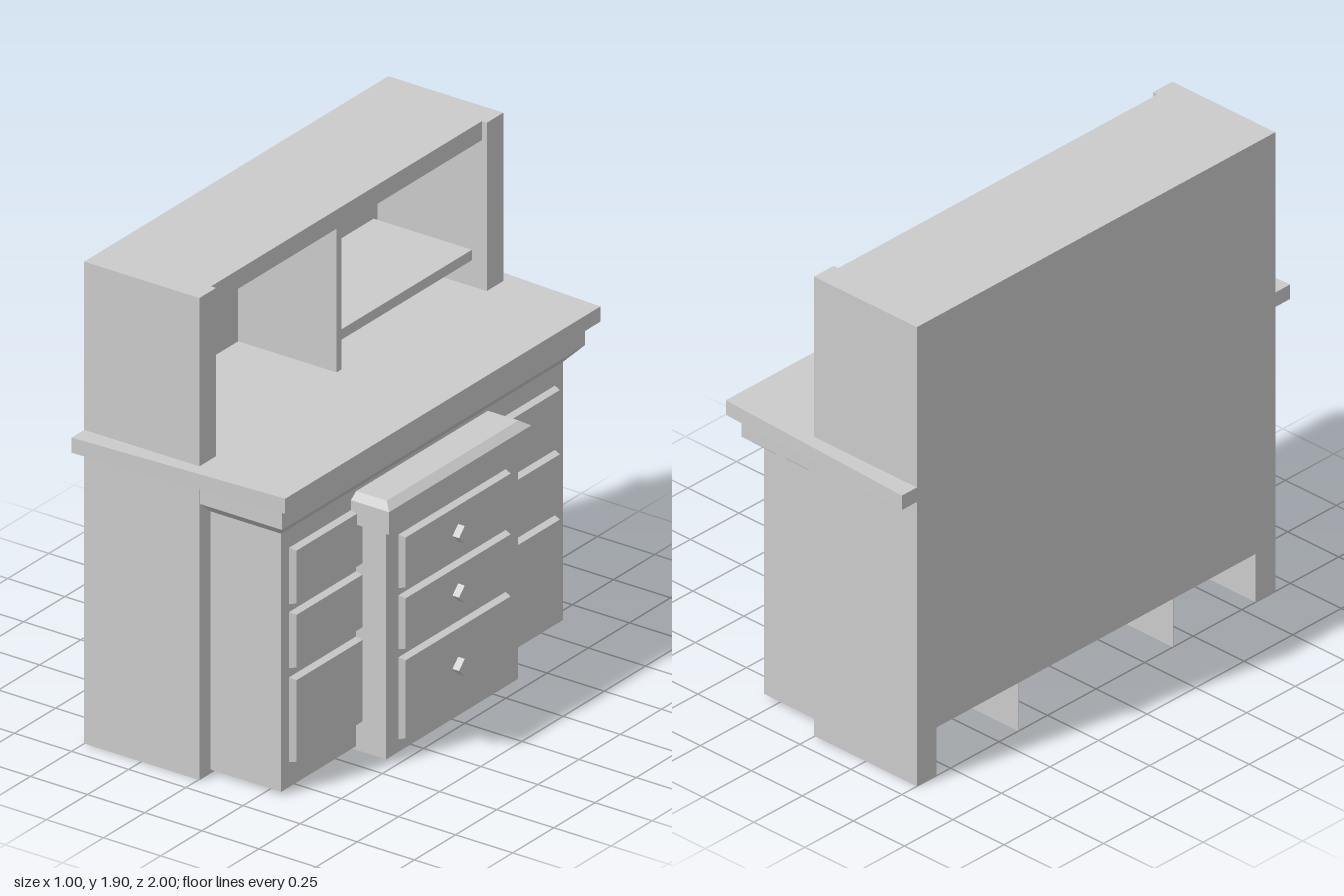
import * as THREE from 'three';

const material = new THREE.MeshStandardMaterial({ color: 0xcccccc, flatShading: true });

// Box between two corners; an optional rule moves its vertices.
function box(parent, name, [x0, x1], [y0, y1], [z0, z1], rule) {
  const geo = new THREE.BoxGeometry(x1 - x0, y1 - y0, z1 - z0);
  geo.translate((x0 + x1) / 2, (y0 + y1) / 2, (z0 + z1) / 2);
  if (rule) {
    const p = geo.attributes.position;
    const v = new THREE.Vector3();
    for (let i = 0; i < p.count; i++) {
      rule(v.fromBufferAttribute(p, i));
      p.setXYZ(i, v.x, v.y, v.z);
    }
    geo.computeVertexNormals();
  }
  const mesh = new THREE.Mesh(geo, material);
  mesh.name = name;
  parent.add(mesh);
}

// Range from a to b on the left (s = 1) or right (s = -1) side.
const sideRange = (s, a, b) => (s > 0 ? [a, b] : [-b, -a]);

// Drawer front whose outer face is slightly smaller than its base.
function drawerFront(parent, name, x, ys, zs) {
  const inset = 0.008;
  const yc = (ys[0] + ys[1]) / 2, zc = (zs[0] + zs[1]) / 2;
  box(parent, name, x, ys, zs, (v) => {
    if (v.x < (x[0] + x[1]) / 2) return;
    v.y -= Math.sign(v.y - yc) * inset;
    v.z -= Math.sign(v.z - zc) * inset;
  });
}

export function createModel() {
  const root = new THREE.Group();
  root.name = 'desk';
  const t = 0.004; // thickness of the thin cabinet panels

  // Upper hutch
  const hutch = new THREE.Group();
  hutch.name = 'hutch';
  root.add(hutch);
  for (const s of [1, -1])
    box(hutch, 'sidePanel', [-0.5, 0.004], [0, 1.905], sideRange(s, 0.822, 0.923));
  box(hutch, 'topPanel', [-0.5, -0.018], [1.83, 1.905], [-0.822, 0.822]);
  box(hutch, 'backPanel', [-0.5, -0.475], [1.24, 1.83], [-0.822, 0.822]);
  box(hutch, 'divider', [-0.475, -0.045], [1.24, 1.83], [-0.007, 0.023]);
  box(hutch, 'shelf', [-0.475, -0.045], [1.357, 1.398], [-0.8, -0.007]);

  // Worktop, a little narrower at its front edge
  box(root, 'worktop', [-0.5, 0.404], [1.18, 1.24], [-1, 1], (v) => {
    if (v.x > 0) v.z *= 0.957;
  });

  // Lower cabinet, open underneath at the front
  const cabinet = new THREE.Group();
  cabinet.name = 'cabinet';
  root.add(cabinet);
  box(cabinet, 'rearCarcass', [-0.5, 0.004], [0.2, 1.18], [-0.822, 0.822]);
  box(cabinet, 'innerWall', [0, 0.004], [0.015, 0.2], [-0.822, 0.822]);
  box(cabinet, 'frontPanel', [0.313 - t, 0.313], [0.015, 1.04], [-0.855, 0.855]);
  for (const s of [1, -1])
    box(cabinet, 'cabinetSide', [0.004, 0.313 - t], [0.015, 1.04], sideRange(s, 0.855 - t, 0.855));
  box(cabinet, 'moulding', [0.004, 0.363], [1.09, 1.18], [-0.92, 0.92]);
  box(cabinet, 'mouldingTaper', [0.004, 0.363], [1.035, 1.09], [-0.92, 0.92], (v) => {
    if (v.y > 1.06) return;
    if (v.x > 0.1) v.x = 0.313;
    v.z *= 0.855 / 0.92;
  });

  // Side drawers
  for (const s of [1, -1])
    for (const y of [[0.112, 0.45], [0.484, 0.708], [0.737, 0.962]])
      drawerFront(cabinet, 'sideDrawer', [0.308, 0.34], y, sideRange(s, 0.385, 0.808));

  // Central pedestal running to the back, open at its rear and underside
  const pedestal = new THREE.Group();
  pedestal.name = 'pedestal';
  root.add(pedestal);
  box(pedestal, 'pedestalFront', [0.444 - t, 0.444], [0, 0.91], [-0.4, 0.4]);
  for (const s of [1, -1])
    box(pedestal, 'pedestalSide', [-0.5, 0.444 - t], [0, 0.91], sideRange(s, 0.4 - t, 0.4));
  box(pedestal, 'cap', [-0.5, 0.48], [0.91, 1], [-0.432, 0.432]);
  box(pedestal, 'capBevel', [-0.5, 0.48], [1, 1.023], [-0.432, 0.432], (v) => {
    if (v.y < 1.01) return;
    if (v.x > 0) v.x = 0.447;
    v.z *= 0.4 / 0.432;
  });

  // Centre drawers with diamond knobs
  for (const [y0, y1, knobY] of [[0.05, 0.375, 0.22], [0.405, 0.62, 0.51], [0.647, 0.86, 0.745]]) {
    drawerFront(pedestal, 'centreDrawer', [0.44, 0.471], [y0, y1], [-0.327, 0.327]);
    const knob = new THREE.Mesh(new THREE.BoxGeometry(0.034, 0.049, 0.049), material);
    knob.name = 'knob';
    knob.position.set(0.483, knobY, 0);
    knob.rotation.x = Math.PI / 4;
    pedestal.add(knob);
  }

  return root;
}
